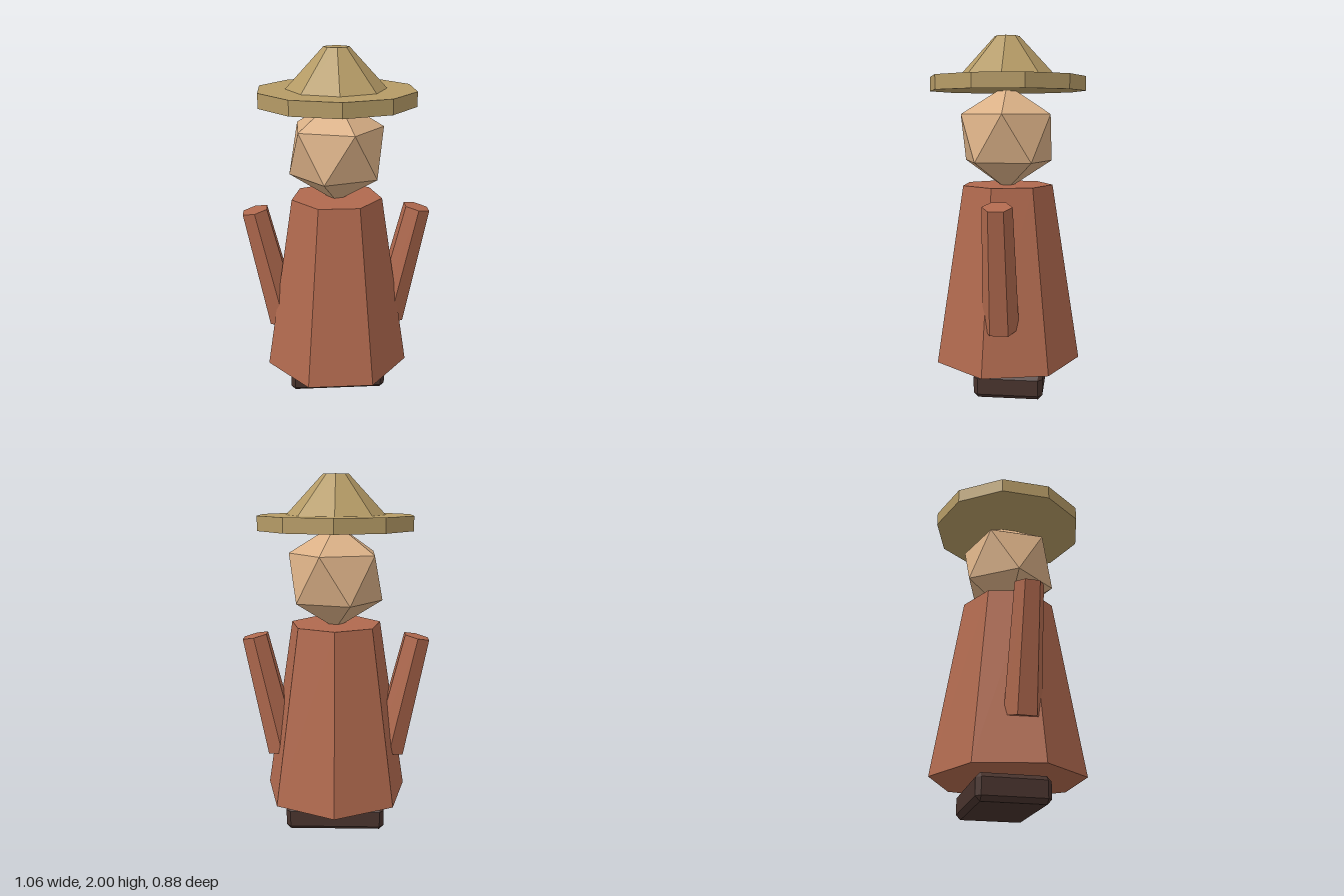
import * as THREE from 'three';
import { ConvexGeometry } from 'three/addons/geometries/ConvexGeometry.js';

const flat = (color) => new THREE.MeshStandardMaterial({ color, flatShading: true });
const straw = flat(0xb59b66);
const skin = flat(0xdab086);
const cloth = flat(0xb0694e);
const darkWood = flat(0x48332d);

// Box with a single straight chamfer on every edge
function chamferBox(w, h, d, c) {
  const points = [];
  for (const x of [-w / 2, w / 2]) for (const y of [-h / 2, h / 2]) for (const z of [-d / 2, d / 2]) {
    const ix = x - Math.sign(x) * c, iy = y - Math.sign(y) * c, iz = z - Math.sign(z) * c;
    points.push(new THREE.Vector3(x, iy, iz), new THREE.Vector3(ix, y, iz), new THREE.Vector3(ix, iy, z));
  }
  return new ConvexGeometry(points);
}

// Icosahedron standing on a corner: two poles and two staggered rings of five
function uprightIcosahedron(r) {
  const points = [new THREE.Vector3(0, r, 0), new THREE.Vector3(0, -r, 0)];
  const ring = r * 2 / Math.sqrt(5), h = r / Math.sqrt(5);
  for (let i = 0; i < 5; i++) {
    const a = i * Math.PI * 2 / 5;
    const x = ring * Math.cos(a), z = ring * Math.sin(a);
    points.push(new THREE.Vector3(x, h, z), new THREE.Vector3(-x, -h, z));
  }
  return new ConvexGeometry(points);
}

export function createModel() {
  const model = new THREE.Group();
  model.name = 'figure';

  const add = (name, geometry, material, x, y, z) => {
    const mesh = new THREE.Mesh(geometry, material);
    mesh.name = name;
    mesh.position.set(x, y, z);
    model.add(mesh);
    return mesh;
  };

  // Chamfered base block, set slightly back
  add('base', chamferBox(0.56, 0.14, 0.385, 0.025), darkWood, 0, 0.07, -0.033);

  // Seven-sided robe with a corner at the back
  add('robe', new THREE.CylinderGeometry(0.26, 0.42, 1.01, 7, 1, false, Math.PI), cloth, 0, 0.67, 0);

  // Sleeves leaning outward, thicker at the lower end
  for (const side of [1, -1]) {
    const arm = add(side > 0 ? 'leftArm' : 'rightArm',
      new THREE.CylinderGeometry(0.08, 0.1, 0.7, 6), cloth, side * 0.385, 0.76, 0);
    arm.rotation.z = -side * 0.22;
  }

  // Head
  add('head', uprightIcosahedron(0.294), skin, 0, 1.44, 0);

  // Hat: ten-sided brim and eight-sided crown
  add('hatBrim', new THREE.CylinderGeometry(0.44, 0.44, 0.08, 10), straw, 0, 1.74, 0);
  add('hatCrown', new THREE.CylinderGeometry(0.07, 0.28, 0.225, 8), straw, 0, 1.8875, 0);

  return model;
}
